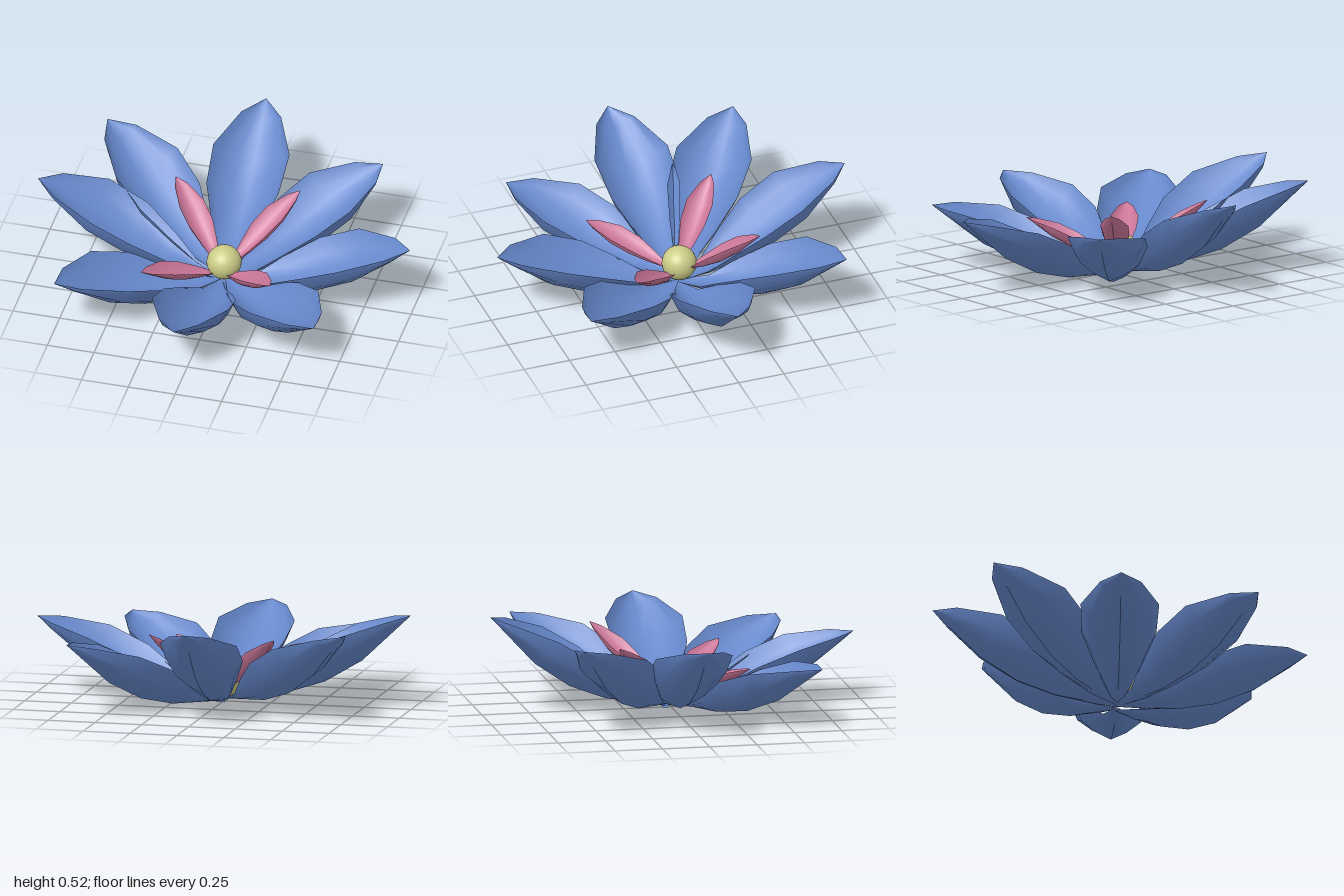
import * as THREE from 'three';

// Petal cross-sections along a unit chord:
// [distance, half width, rim height, outer keel height, inner floor height]
const SECTIONS = [
  [0, 0.012, 0, 0, 0],
  [0.15, 0.06, -0.02, -0.052, -0.04],
  [0.29, 0.118, 0.015, -0.1, -0.075],
  [0.48, 0.182, 0.05, -0.126, -0.095],
  [0.69, 0.192, 0.058, -0.105, -0.08],
  [0.9, 0.1, 0.025, -0.034, -0.03],
  [1, 0, 0, 0, 0],
];
const OUTER = 3, INNER = 4;

// Half cross-section from keel to rim: [share of width, share of height]
const RIGHT = [[0, 0], [0.42, 0.2], [0.8, 0.5], [1, 1]];
const LEFT = RIGHT.map(([x, y]) => [-x, y]).reverse();

// One skin of a petal, swept through the sections
function petalSkin(profile, floor) {
  const pos = [], index = [], n = profile.length;
  for (const s of SECTIONS) {
    for (const [across, up] of profile) {
      pos.push(s[1] * across, s[floor] + (s[2] - s[floor]) * up, s[0]);
    }
  }
  for (let i = 0; i < SECTIONS.length - 1; i++) {
    for (let j = 0; j < n - 1; j++) {
      const a = i * n + j, b = a + 1, c = a + n, d = c + 1;
      // The last row closes to a point, so it needs one triangle per strip
      const face = i === SECTIONS.length - 2 ? [a, c, b] : [a, c, b, b, c, d];
      if (floor === OUTER) face.reverse();
      index.push(...face);
    }
  }
  const g = new THREE.BufferGeometry();
  g.setAttribute('position', new THREE.Float32BufferAttribute(pos, 3));
  g.setIndex(index);
  g.computeVertexNormals();
  return g;
}

export function createModel() {
  const model = new THREE.Group();
  model.name = 'flower';
  const blue = new THREE.MeshStandardMaterial({ color: 0x6688cc });
  const pink = new THREE.MeshStandardMaterial({ color: 0xcc7799 });
  const yellow = new THREE.MeshStandardMaterial({ color: 0xcccc88 });

  // Smooth inside, and two outside halves that meet in a sharp keel
  const skins = {
    Inside: petalSkin([...LEFT, ...RIGHT.slice(1)], INNER),
    OutsideLeft: petalSkin(RIGHT, OUTER),
    OutsideRight: petalSkin(LEFT, OUTER),
  };

  // Petal stretched from its base, at the given height, to its tip
  function addPetal(name, baseY, tip, width, material) {
    const petal = new THREE.Group();
    petal.name = name;
    for (const [part, geometry] of Object.entries(skins)) {
      const mesh = new THREE.Mesh(geometry, material);
      mesh.name = name + part;
      petal.add(mesh);
    }
    const end = new THREE.Vector3(...tip);
    petal.position.set(-0.015, baseY, -0.03);
    petal.lookAt(end);
    petal.scale.set(width, width, petal.position.distanceTo(end));
    model.add(petal);
  }

  // Eight outer petals: base height and tip
  const outerPetals = [
    [0.03, [-0.02, 0.37, 0.96]], [0.03, [0.66, 0.33, 0.69]],
    [0.005, [0.995, 0.41, 0.0]], [0.015, [0.66, 0.4, -0.72]],
    [0.015, [-0.03, 0.525, -0.96]], [0.025, [-0.79, 0.49, -0.62]],
    [0.03, [-1, 0.5, -0.005]], [0.04, [-0.74, 0.33, 0.65]],
  ];
  for (const [baseY, tip] of outerPetals) addPetal('outerPetal', baseY, tip, 1.06, blue);

  // Four inner petals
  const innerTips = [
    [0.33, 0.285, 0.32], [0.31, 0.41, -0.37], [-0.35, 0.4, -0.34], [-0.355, 0.265, 0.35],
  ];
  for (const tip of innerTips) addPetal('innerPetal', 0.08, tip, 0.38, pink);

  // Round centre
  const centre = new THREE.Mesh(new THREE.SphereGeometry(0.091, 24, 16), yellow);
  centre.name = 'centre';
  centre.position.set(-0.012, 0.125, -0.04);
  model.add(centre);

  return model;
}
